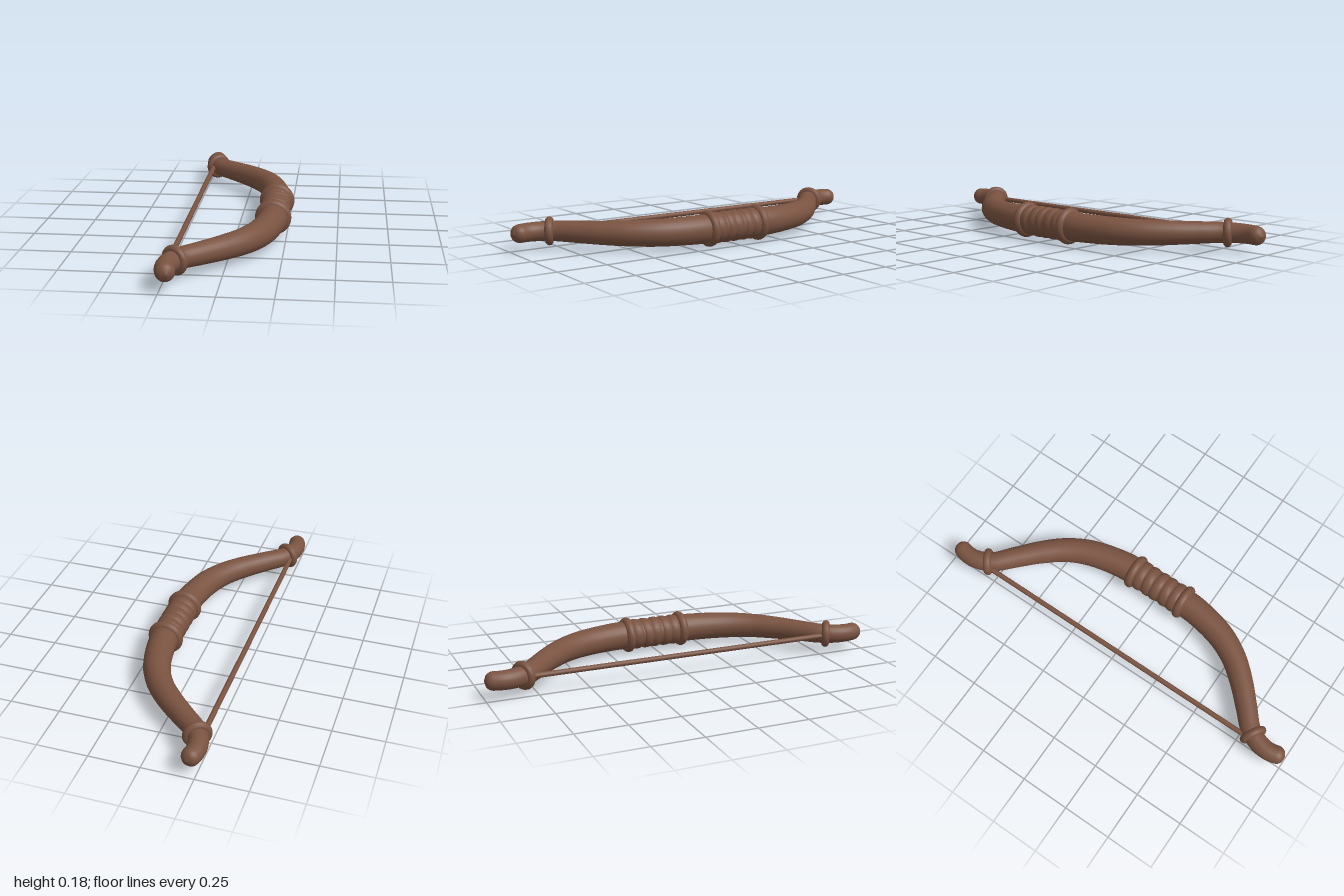
import * as THREE from 'three';
import { mergeVertices } from 'three/addons/utils/BufferGeometryUtils.js';

const Y = 0.095; // height of the bow's centre plane
const wood = new THREE.MeshStandardMaterial({ color: 0x7a5341 });
wood.name = 'brown wood';

// half of the centreline, from grip to tip: [x, z]
const half = [[0.182, 0.1], [0.178, 0.22], [0.137, 0.4], [0.075, 0.52], [-0.01, 0.62],
  [-0.105, 0.71], [-0.19, 0.79], [-0.224, 0.86], [-0.23, 0.92], [-0.21, 0.998]];

const add = (group, name, geometry) => {
  const mesh = new THREE.Mesh(geometry, wood);
  mesh.name = name;
  group.add(mesh);
  return mesh;
};

// stave thickness along |z|, interpolated between a few stations
const stations = [[0, 0.072], [0.2, 0.071], [0.4, 0.067], [0.6, 0.059], [0.78, 0.05], [0.9, 0.046], [1.01, 0.044]];
function thickness(z) {
  for (let i = 1; i < stations.length; i++) {
    const [z0, r0] = stations[i - 1], [z1, r1] = stations[i];
    if (z <= z1) return THREE.MathUtils.lerp(r0, r1, (z - z0) / (z1 - z0));
  }
  return 0.044;
}

// tube whose rings are scaled to the local thickness and rounded at both ends
function staveGeometry(curve) {
  const rings = 280, sides = 24, length = curve.getLength(), cap = 0.042;
  const geo = new THREE.TubeGeometry(curve, rings, 1, sides, false);
  const pos = geo.attributes.position, v = new THREE.Vector3();
  for (let i = 0; i <= rings; i++) {
    const c = curve.getPointAt(i / rings);
    const toEnd = Math.min(i, rings - i) / rings * length;
    const k = Math.max(0, 1 - toEnd / cap);
    const r = Math.max(0.0005, thickness(Math.abs(c.z)) * Math.sqrt(1 - k * k));
    for (let j = 0; j <= sides; j++) {
      const n = i * (sides + 1) + j;
      v.fromBufferAttribute(pos, n).sub(c).multiplyScalar(r).add(c);
      pos.setXYZ(n, v.x, v.y, v.z);
    }
  }
  geo.deleteAttribute('normal');
  geo.deleteAttribute('uv');
  const smooth = mergeVertices(geo, 1e-5);
  smooth.computeVertexNormals();
  return smooth;
}

export function createModel() {
  const bow = new THREE.Group();
  bow.name = 'bow';

  // curved stave with recurved tips
  const points = [
    ...half.map(([x, z]) => new THREE.Vector3(x, Y, -z)).reverse(),
    ...half.map(([x, z]) => new THREE.Vector3(x, Y, z)),
  ];
  add(bow, 'stave', staveGeometry(new THREE.CatmullRomCurve3(points, false, 'centripetal')));

  // bowstring
  const string = add(bow, 'bowstring', new THREE.CylinderGeometry(0.013, 0.013, 1.62, 12));
  string.rotation.x = Math.PI / 2;
  string.position.set(-0.228, Y, 0);

  for (const side of [-1, 1]) {
    // collars at the ends of the grip
    const collar = add(bow, 'gripCollar', new THREE.TorusGeometry(0.066, 0.024, 14, 36));
    collar.position.set(0.182, Y, side * 0.147);

    // rings holding the string, square to the limb
    const ring = add(bow, 'stringRing', new THREE.TorusGeometry(0.05, 0.02, 12, 32));
    ring.position.set(-0.203, Y, side * 0.81);
    ring.rotation.y = -side * 0.55;
  }

  // leather wraps around the grip, slightly tilted bands
  const tilts = [0.05, 0.16, -0.1, 0.14, -0.05];
  tilts.forEach((tilt, i) => {
    const wrap = add(bow, 'gripWrap', new THREE.TorusGeometry(0.062, 0.016, 12, 32));
    wrap.scale.z = 1.9;
    wrap.position.set(0.182, Y, (i - 2) * 0.052);
    wrap.rotation.set(-tilt * 0.4, tilt, 0);
  });

  return bow;
}
